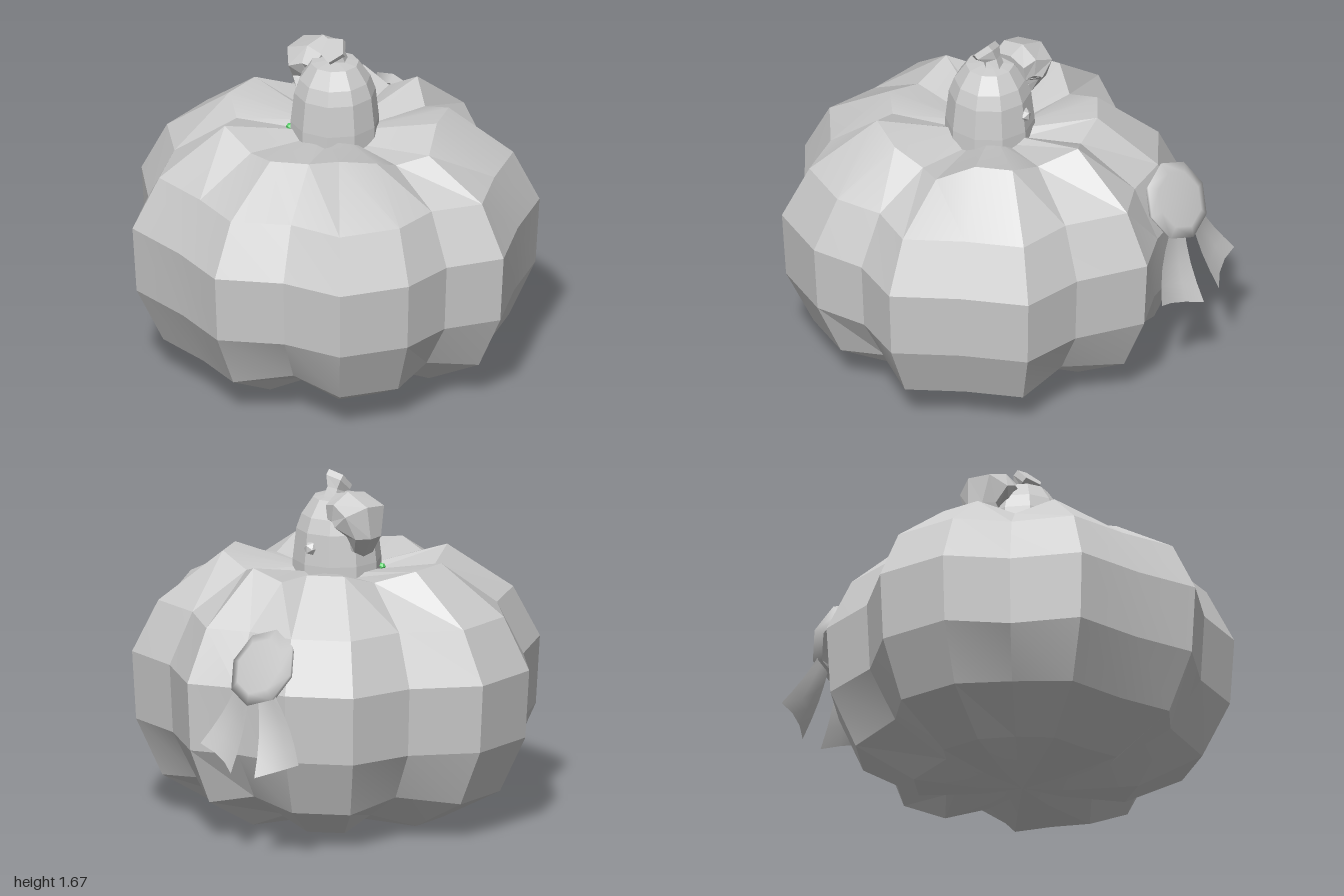
import * as THREE from 'three';
import { toCreasedNormals } from 'three/addons/utils/BufferGeometryUtils.js';

const V = (x, y, z) => new THREE.Vector3(x, y, z);
const grey = new THREE.MeshStandardMaterial({ color: 0xcccccc, flatShading: true });
const smooth = new THREE.MeshStandardMaterial({ color: 0xcccccc, side: THREE.DoubleSide });
const green = new THREE.MeshStandardMaterial({ color: 0x55cc66, flatShading: true });

// Skin over closed rings (clockwise seen from the last ring), capped at both ends
function loft(rings) {
  const n = rings[0].length, last = (rings.length - 1) * n;
  const pts = rings.flat(), index = [];
  const centre = (ring) => ring.reduce((s, p) => s.add(p), V(0, 0, 0)).divideScalar(n);
  pts.push(centre(rings[0]), centre(rings[rings.length - 1]));
  for (let i = 0; i < n; i++) {
    const k = (i + 1) % n;
    for (let r = 0; r < last; r += n) {
      index.push(r + i, r + n + i, r + n + k, r + i, r + n + k, r + k);
    }
    index.push(last + n, i, k, last + n + 1, last + k, last + i);
  }
  const g = new THREE.BufferGeometry().setFromPoints(pts);
  g.setIndex(index);
  g.computeVertexNormals();
  return g;
}

// Faceted tube through [x, y, z, radius] stations; ref is normal to the path's plane
function sweep(stations, sides, ref) {
  const p = stations.map((s) => V(s[0], s[1], s[2]));
  return loft(p.map((c, j) => {
    const t = p[Math.min(j + 1, p.length - 1)].clone().sub(p[Math.max(j - 1, 0)]).normalize();
    const u = t.clone().cross(ref).normalize();
    return Array.from({ length: sides }, (_, i) => {
      const a = (i / sides) * Math.PI * 2, r = stations[j][3];
      return c.clone().addScaledVector(ref, Math.cos(a) * r).addScaledVector(u, -Math.sin(a) * r);
    });
  }));
}

const lathe = (profile, sides) =>
  new THREE.LatheGeometry(profile.map(([r, y]) => new THREE.Vector2(r, y)), sides);

// Curved ribbon tail between a top edge (a, b) and a bottom edge (c, d)
function ribbon(a, b, c, d) {
  const g = new THREE.PlaneGeometry(1, 1, 3, 4), pos = g.attributes.position;
  for (let i = 0; i < pos.count; i++) {
    const s = pos.getX(i) + 0.5, t = 0.5 - pos.getY(i);
    const p = a.clone().lerp(b, s).lerp(c.clone().lerp(d, s), t);
    p.z += 0.02 * Math.sin(Math.PI * t) + 0.03 * Math.sin(Math.PI * s) * t;
    pos.setXYZ(i, p.x, p.y, p.z);
  }
  g.computeVertexNormals();
  return g;
}

export function createModel() {
  const model = new THREE.Group();
  const add = (name, geometry, material = grey, parent = model) => {
    const m = new THREE.Mesh(geometry, material);
    m.name = name;
    parent.add(m);
    return m;
  };

  // Irregular lobed outline: x, z, 1 where there is a valley, drop of the crown
  const outline = [
    [0.02, -0.94, 0, 0], [0.33, -0.76, 1, 0], [0.64, -0.71, 0, 0], [0.79, -0.42, 0, 0],
    [0.98, -0.14, 0, 0.08], [0.86, 0.12, 1, 0.05], [0.88, 0.39, 0, 0.04], [0.73, 0.7, 0, 0],
    [0.44, 0.79, 1, 0], [0.18, 0.99, 0, 0.05], [-0.13, 0.92, 0, 0.08], [-0.48, 0.89, 0, 0.01],
    [-0.67, 0.6, 1, 0], [-0.92, 0.4, 0, 0.01], [-0.98, 0.04, 0, 0.01], [-0.78, -0.25, 1, 0],
    [-0.73, -0.57, 0, 0], [-0.47, -0.77, 0, 0], [-0.2, -0.83, 1, 0],
  ];
  // Levels: height, scale, valley height shift, valley scale, share of the crown drop
  const levels = [
    [0.01, 0.22, 0.02, 0.9, 0], [0.035, 0.55, 0.05, 0.88, 0], [0.195, 0.85, 0.04, 0.96, 0],
    [0.47, 0.98, 0, 1, 0], [0.8, 1, 0, 1, 0], [1.05, 0.87, 0, 0.99, 0],
    [1.29, 0.55, -0.06, 0.97, 1], [1.21, 0.16, -0.03, 1, 0.3],
  ];
  const body = loft(levels.map(([y, f, dy, vf, share]) =>
    outline.map(([x, z, v, drop]) => {
      const s = f * (v ? vf : 1);
      return V(x * s, y + v * dy - share * drop, z * s);
    })));
  add('pumpkinBody', toCreasedNormals(body, 0.25), smooth);

  // Stem with a small bent nub
  const stem = new THREE.Group();
  stem.name = 'stem';
  model.add(stem);
  add('stemBase', lathe([
    [0.215, 1.1], [0.212, 1.25], [0.195, 1.4], [0.17, 1.47], [0.115, 1.55], [0, 1.565],
  ], 10), grey, stem).position.z = 0.02;
  add('stemNub', sweep([
    [0, 1.54, 0, 0.055], [0, 1.585, 0.01, 0.045], [0.01, 1.61, 0.03, 0.07], [0.015, 1.63, 0.05, 0.07],
  ], 5, V(1, 0, 0)), grey, stem);

  // Chunky curl beside the stem, wide from front to back
  add('curl', sweep([
    [-0.08, 1.51, -0.02, 0.08], [-0.14, 1.52, -0.02, 0.095], [-0.21, 1.49, -0.02, 0.11],
    [-0.235, 1.41, -0.02, 0.07], [-0.2, 1.35, 0, 0.055], [-0.12, 1.36, 0.02, 0.06],
  ], 7, V(0, 0, 1))).scale.z = 1.35;

  // Tiny details at the stem
  add('stemBead', new THREE.IcosahedronGeometry(0.035)).position.set(-0.02, 1.33, -0.17);
  add('greenBead', new THREE.IcosahedronGeometry(0.02), green).position.set(-0.15, 1.205, 0.17);

  // Rosette with two ribbon tails on the back
  const badge = new THREE.Group();
  badge.name = 'rosette';
  model.add(badge);
  const disc = add('rosetteDisc',
    lathe([[0.17, -0.04], [0.195, 0], [0.14, 0.02], [0, 0.02]], 8), smooth, badge);
  disc.position.set(-0.365, 0.93, -0.82);
  disc.rotation.x = -Math.PI / 3;
  add('ribbonLeft', ribbon(V(-0.34, 0.82, -0.88), V(-0.24, 0.82, -0.87),
    V(-0.34, 0.44, -1), V(-0.08, 0.53, -0.95)), smooth, badge);
  add('ribbonRight', ribbon(V(-0.5, 0.82, -0.86), V(-0.4, 0.82, -0.88),
    V(-0.7, 0.53, -0.9), V(-0.48, 0.44, -0.98)), smooth, badge);

  return model;
}
